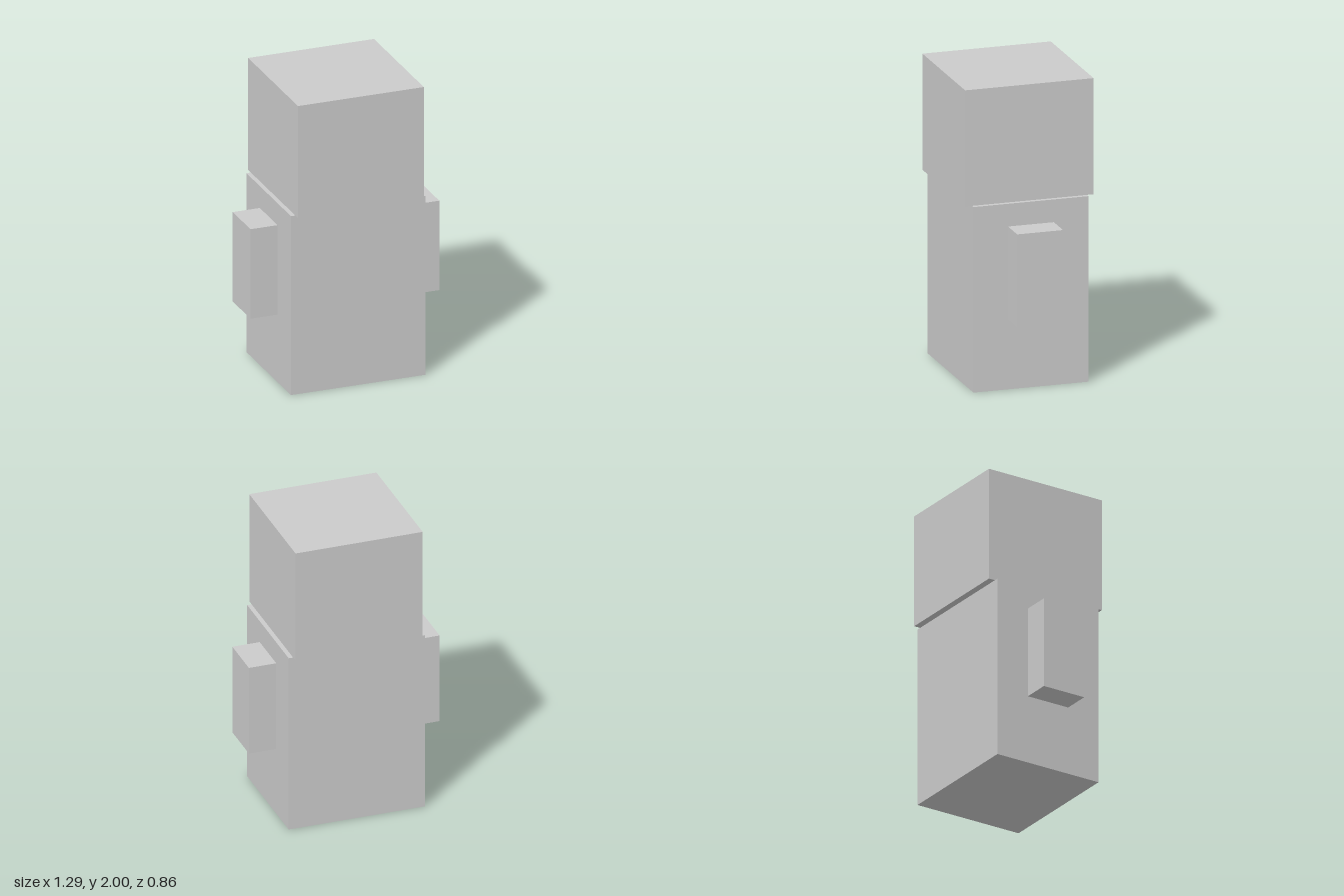
import * as THREE from 'three';

export function createModel() {
  const model = new THREE.Group();
  const material = new THREE.MeshStandardMaterial({ color: 0xcccccc, flatShading: true });

  // Adds a named box from its size and centre
  function addBox(name, size, centre) {
    const mesh = new THREE.Mesh(new THREE.BoxGeometry(...size), material);
    mesh.name = name;
    mesh.position.set(...centre);
    model.add(mesh);
  }

  // Torso block standing on the ground
  addBox('body', [0.92, 1.23, 0.77], [0, 0.615, 0]);

  // Head block resting on the torso, overhanging front and back
  addBox('head', [0.86, 0.77, 0.86], [0, 1.615, 0]);

  // Mirrored arm blocks on the sides
  for (const [name, side] of [['leftArm', 1], ['rightArm', -1]]) {
    addBox(name, [0.185, 0.615, 0.307], [side * 0.5525, 0.772, 0]);
  }

  return model;
}
